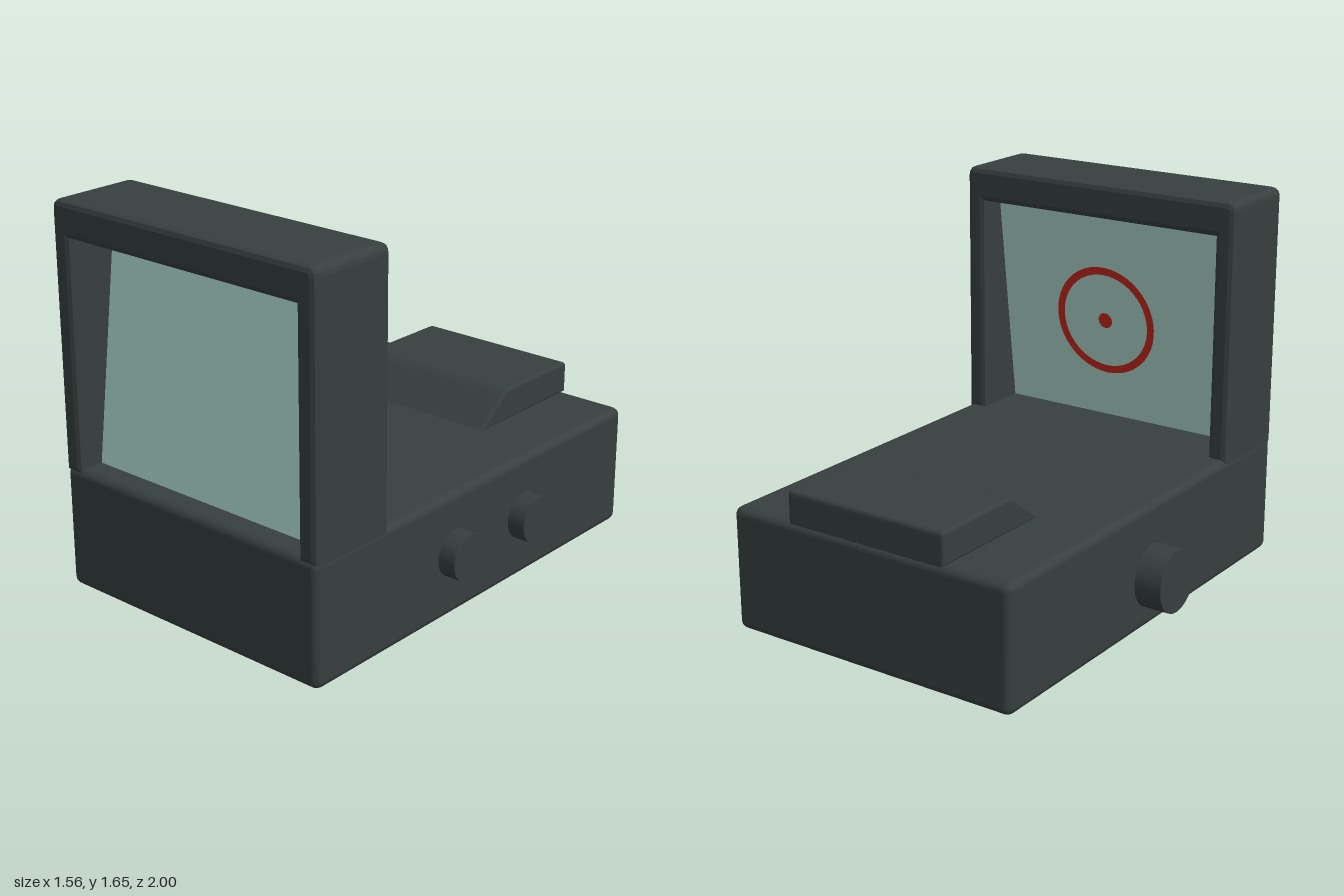
import * as THREE from 'three';
import { RoundedBoxGeometry } from 'three/addons/geometries/RoundedBoxGeometry.js';

const CX = 0.02; // centre line of the housing

export function createModel() {
  const model = new THREE.Group();
  const housing = new THREE.MeshStandardMaterial({ name: 'dark housing', color: 0x373f3f });
  const glass = new THREE.MeshStandardMaterial({ name: 'pale green glass', color: 0xaed9cf });
  const red = new THREE.MeshStandardMaterial({ name: 'reticle red', color: 0xc8281e, side: THREE.DoubleSide });

  const add = (name, geometry, material, x = 0, y = 0, z = 0) => {
    const mesh = new THREE.Mesh(geometry, material);
    mesh.name = name;
    mesh.position.set(x, y, z);
    model.add(mesh);
    return mesh;
  };

  // Bevelled extrusion whose outline and depth include the bevel
  const bevelled = (shape, depth, bevel) => {
    const g = new THREE.ExtrudeGeometry(shape, {
      depth: depth - 2 * bevel, bevelThickness: bevel, bevelSize: bevel,
      bevelOffset: -bevel, bevelSegments: 2, curveSegments: 4,
    });
    return g.translate(0, 0, bevel - depth / 2);
  };

  // Main body
  add('body', new RoundedBoxGeometry(1.36, 0.535, 2, 2, 0.035), housing, CX, 0.2745, 0);

  // Window frame: two posts joined by a deep top bar
  const w = 0.68, inner = 0.588, low = 0.52, top = 1.66, sill = 1.508, r = 0.04;
  const arch = new THREE.Shape();
  arch.moveTo(-w, low);
  arch.lineTo(-inner, low);
  arch.lineTo(-inner, sill);
  arch.lineTo(inner, sill);
  arch.lineTo(inner, low);
  arch.lineTo(w, low);
  arch.lineTo(w, top - r);
  arch.quadraticCurveTo(w, top, w - r, top);
  arch.lineTo(-w + r, top);
  arch.quadraticCurveTo(-w, top, -w, top - r);
  arch.closePath();
  add('windowFrame', bevelled(arch, 0.41, 0.025), housing, CX, 0, 0.795);

  // Leaning window pane
  const tilt = -0.124;
  const pane = add('windowPane', new THREE.BoxGeometry(1.2, 1.02, 0.06), glass, CX, 1.03, 0.8);
  pane.rotation.x = tilt;

  // Aiming ring and dot behind the pane
  const ring = add('reticleRing', new THREE.RingGeometry(0.215, 0.25, 48), red, CX, 1.03, 0.688);
  const dot = add('reticleDot', new THREE.CircleGeometry(0.035, 24), red, CX, 1.03, 0.688);
  ring.rotation.x = dot.rotation.x = tilt;

  // Raised cover at the rear with a sloping front
  const side = new THREE.Shape();
  side.moveTo(-1, 0.54);
  side.lineTo(-0.385, 0.54);
  side.lineTo(-0.53, 0.655);
  side.quadraticCurveTo(-0.56, 0.68, -0.6, 0.68);
  side.lineTo(-0.98, 0.68);
  side.quadraticCurveTo(-1, 0.68, -1, 0.66);
  side.closePath();
  const cover = add('rearCover', bevelled(side, 0.76, 0.012), housing, CX, 0, 0);
  cover.rotation.y = -Math.PI / 2;

  // Adjustment knobs: two small on the left, one large on the right
  const knob = (name, radius, xOut, xIn, y, z) => {
    const length = Math.abs(xOut - xIn);
    const g = new THREE.CylinderGeometry(radius, radius, length, 32).rotateZ(Math.PI / 2);
    add(name, g, housing, (xOut + xIn) / 2, y, z);
  };
  knob('leftFrontKnob', 0.1, 0.78, 0.66, 0.285, 0.185);
  knob('leftRearKnob', 0.1, 0.78, 0.66, 0.285, -0.275);
  knob('rightKnob', 0.135, -0.78, -0.62, 0.23, 0);

  return model;
}
